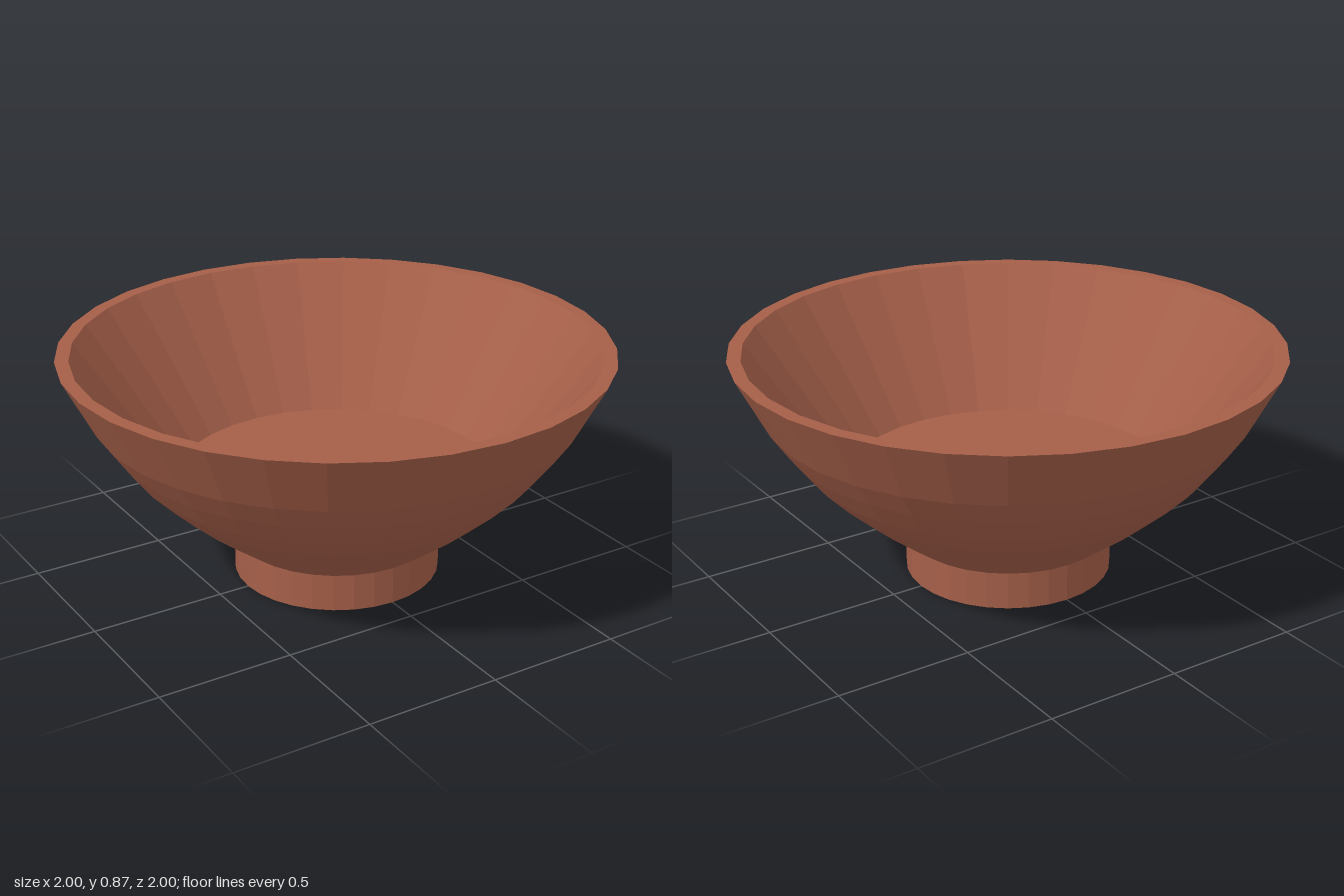
import * as THREE from 'three';

const SEGMENTS = 32;

export function createModel() {
  const clay = new THREE.MeshStandardMaterial({ color: 0xa55f49, flatShading: true });
  clay.name = 'terracotta';

  const model = new THREE.Group();
  model.name = 'bowl';

  // Turns a profile of [radius, height] points around the y axis
  const turn = (name, profile) => {
    const points = profile.map(([r, y]) => new THREE.Vector2(r, y));
    const mesh = new THREE.Mesh(new THREE.LatheGeometry(points, SEGMENTS), clay);
    mesh.name = name;
    model.add(mesh);
  };

  // Foot ring: dished underside, then the straight outer wall
  turn('foot', [[0, 0.075], [0.15, 0.075], [0.37, 0], [0.383, 0], [0.383, 0.14]]);

  // Curved outside of the bowl
  turn('outerWall', [
    [0.383, 0.14], [0.475, 0.21], [0.57, 0.285], [0.665, 0.37],
    [0.75, 0.457], [0.82, 0.55], [0.885, 0.645], [1, 0.868],
  ]);

  // Flat lip
  turn('rim', [[1, 0.868], [0.95, 0.868]]);

  // Straight sloping inside and flat floor
  turn('innerWall', [[0.95, 0.868], [0.597, 0.365]]);
  turn('floor', [[0.597, 0.365], [0, 0.365]]);

  return model;
}
